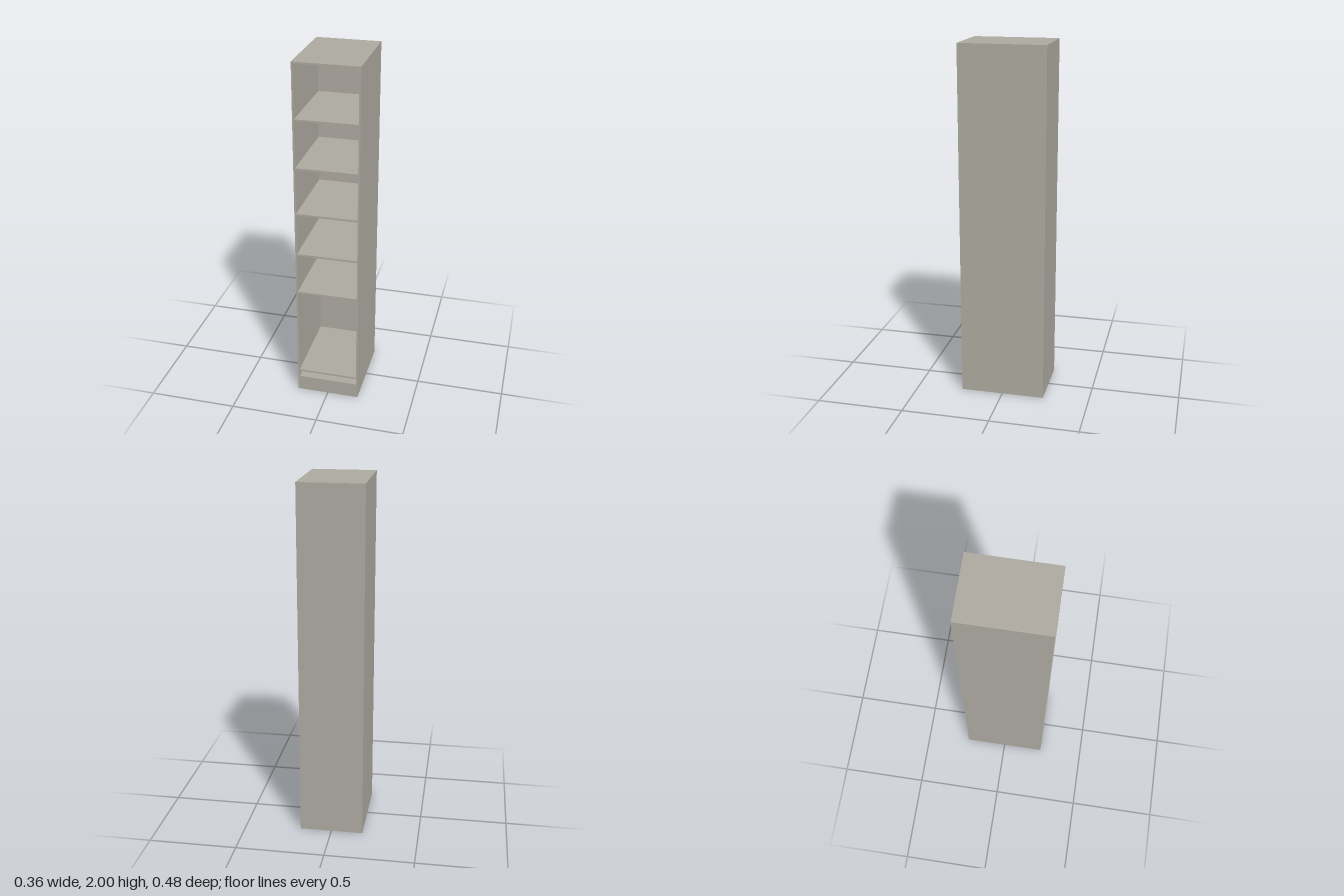
import * as THREE from 'three';

export function createModel() {
  const model = new THREE.Group();
  const greige = new THREE.MeshStandardMaterial({ color: 0xaca89f });
  greige.name = 'greige';

  const W = 0.36, H = 2, D = 0.48, T = 0.01, plinthH = 0.09;
  const innerW = W - 2 * T;
  const innerD = D - T;

  // Box placed by its centre in x and z and its underside in y
  function panel(name, w, h, d, x, y, z) {
    const mesh = new THREE.Mesh(new THREE.BoxGeometry(w, h, d), greige);
    mesh.name = name;
    mesh.position.set(x, y + h / 2, z);
    model.add(mesh);
  }

  // Carcass: plinth, sides, top and back
  panel('plinth', W, plinthH, D, 0, 0, 0);
  for (const [name, s] of [['leftSide', 1], ['rightSide', -1]]) {
    panel(name, T, H - plinthH, D, s * (W - T) / 2, plinthH, 0);
  }
  panel('topPanel', innerW, T, D, 0, H - T, 0);
  panel('backPanel', innerW, H - T - plinthH, T, 0, plinthH, -(D - T) / 2);

  // Shelves, from the compartment floor upwards
  [0.128, 0.661, 0.902, 1.149, 1.416, 1.687].forEach((y, i) => {
    panel(`shelf${i + 1}`, innerW, 0.011, innerD, 0, y, T / 2);
  });

  // Narrow rail across the back of the tall compartment
  panel('backRail', 0.305, 0.013, 0.01, 0, 0.604, -D / 2 + 1.5 * T);

  return model;
}
